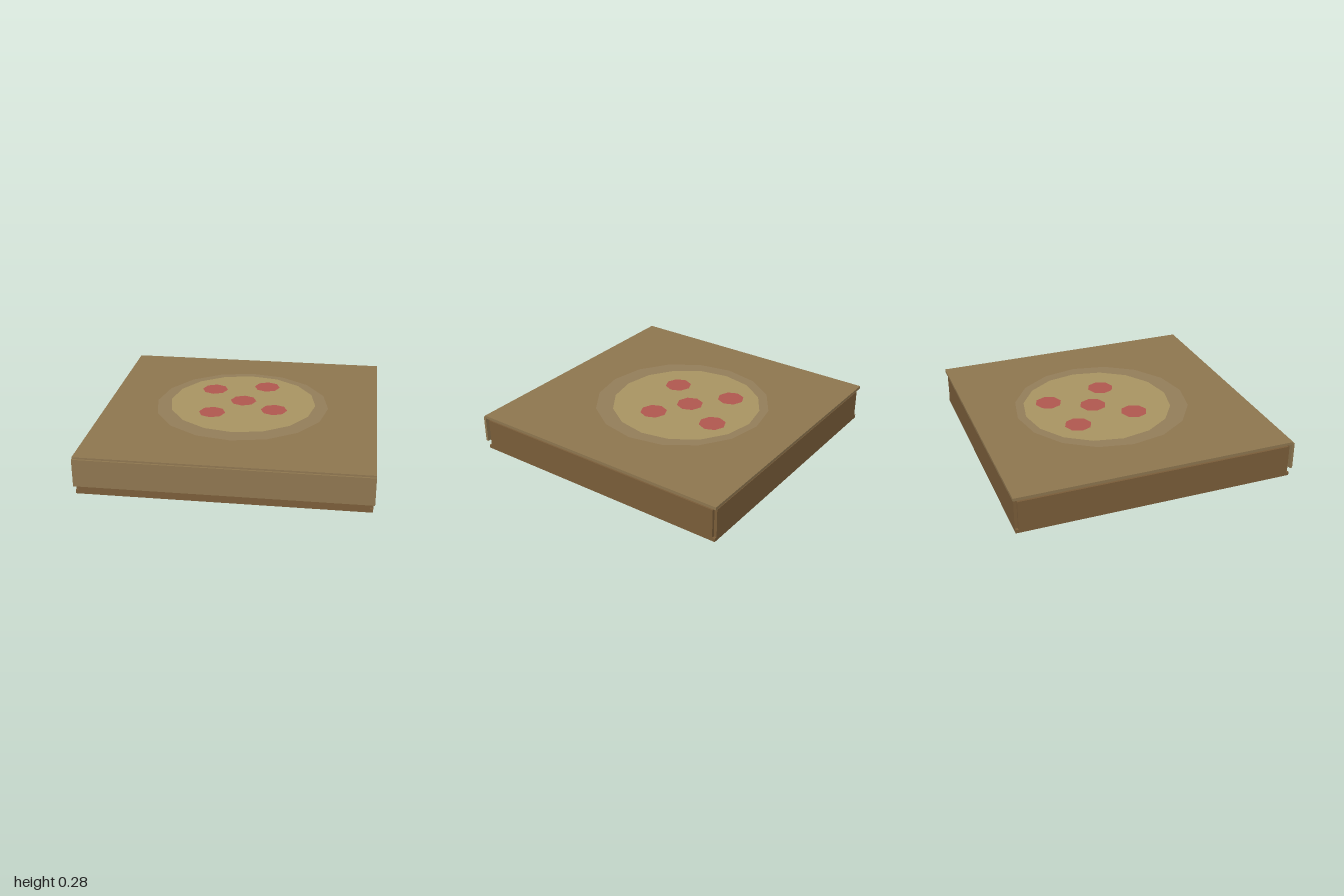
import * as THREE from 'three';

const mat = (color) => new THREE.MeshStandardMaterial({ color, flatShading: true });
const lidMat = mat(0x8f7750), trayMat = mat(0x7b5e3a), ringMat = mat(0x957f5a);
const cheeseMat = mat(0xaa9663), meatMat = mat(0xb25850), crustMat = mat(0x6b4f30);

export function createModel() {
  const model = new THREE.Group();

  const add = (name, geometry, material, x, y, z) => {
    const mesh = new THREE.Mesh(geometry, material);
    mesh.name = name;
    mesh.position.set(x, y, z);
    model.add(mesh);
    return mesh;
  };
  // Box given by its lower and upper limits
  const box = (name, material, [x0, x1], [y0, y1], [z0, z1]) =>
    add(name, new THREE.BoxGeometry(x1 - x0, y1 - y0, z1 - z0), material,
      (x0 + x1) / 2, (y0 + y1) / 2, (z0 + z1) / 2);
  // Flat printed disc on the lid
  const disc = (name, material, radius, sides, x, y, z) =>
    add(name, new THREE.CircleGeometry(radius, sides).rotateX(-Math.PI / 2), material, x, y, z);

  // Tray: floor and four walls with notched corners
  box('trayFloor', trayMat, [-0.965, 0.965], [0.013, 0.037], [-0.97, 0.96]);
  box('rightWall', trayMat, [-0.965, -0.945], [0.037, 0.24], [-0.95, 0.94]);
  box('leftWall', trayMat, [0.945, 0.965], [0.037, 0.24], [-0.95, 0.94]);
  box('frontWall', trayMat, [-0.945, 0.945], [0.037, 0.24], [0.94, 0.96]);
  box('backWall', trayMat, [-0.945, 0.945], [0.037, 0.24], [-0.97, -0.95]);

  // Lid, floating just above the walls, with its front flap
  box('lid', lidMat, [-0.975, 0.975], [0.257, 0.277], [-0.98, 0.965]);
  box('lidFlap', lidMat, [-0.975, 0.975], [0.073, 0.265], [0.96, 0.978]);

  // Pizza picture on the lid
  disc('printedCrust', ringMat, 0.625, 16, 0, 0.2785, -0.045);
  disc('printedCheese', cheeseMat, 0.53, 16, 0, 0.28, -0.08);
  [[-0.24, -0.305], [0.145, -0.4], [0, -0.11], [0.24, 0.035], [-0.195, 0.13]]
    .forEach(([x, z]) => disc('printedPepperoni', meatMat, 0.095, 8, x, 0.2815, z));

  // Slice inside the tray; its round crust just reaches through the floor
  const radius = 0.45, spread = 1.15;
  const angle = Math.atan2(-0.39, -0.92);
  add('slice', new THREE.CylinderGeometry(radius, radius, 0.025, 6, 1, false, angle - spread / 2, spread),
    cheeseMat, -0.245, 0.052, 0.095);
  const crust = new THREE.TorusGeometry(radius, 0.03, 8, 6, spread)
    .rotateZ(Math.PI / 2 - angle - spread / 2).rotateX(Math.PI / 2);
  add('sliceCrust', crust, crustMat, -0.245, 0.03, 0.095);

  return model;
}
